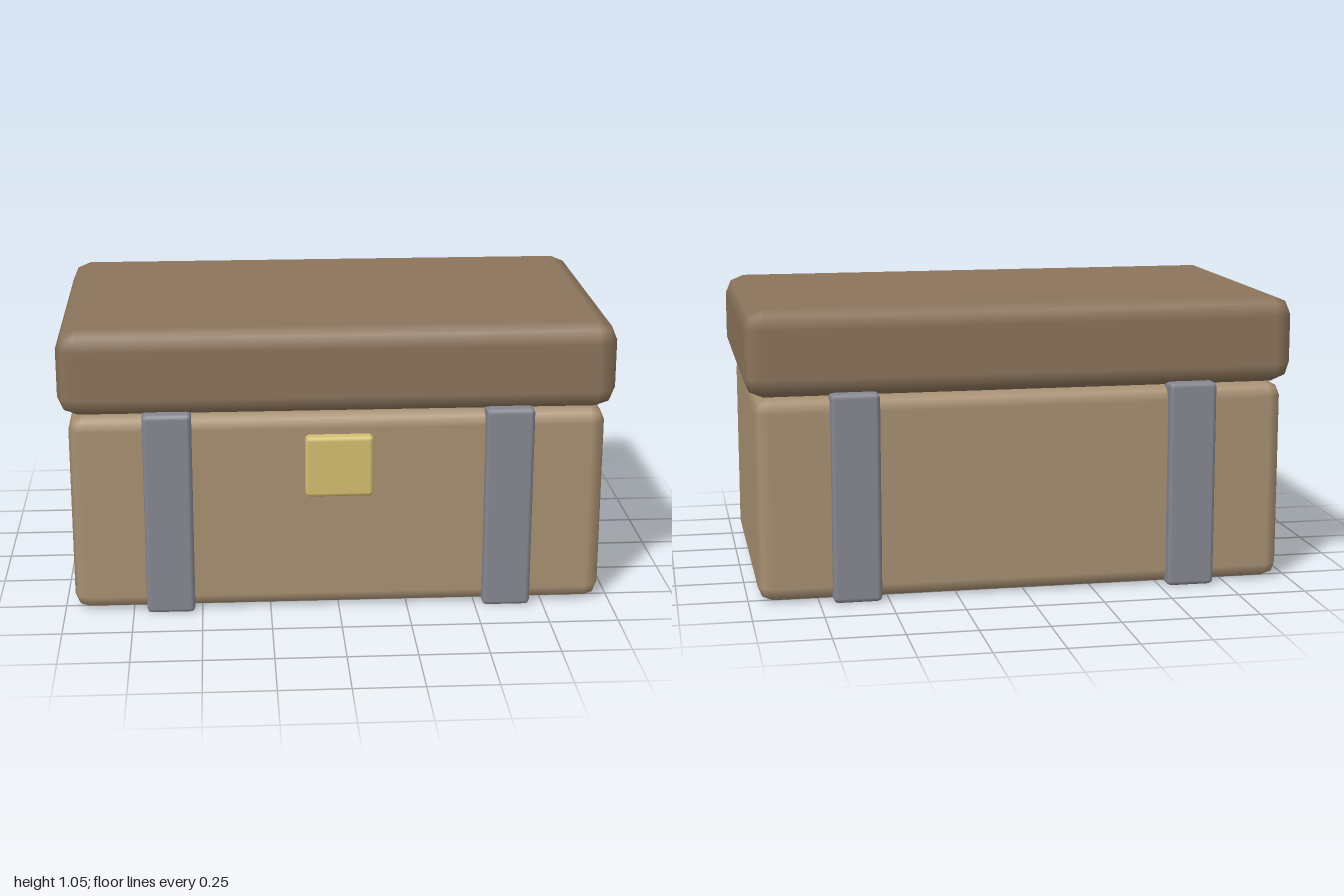
import * as THREE from 'three';
import { RoundedBoxGeometry } from 'three/addons/geometries/RoundedBoxGeometry.js';

// Rounded block given by its lower and upper corner
function block(name, lo, hi, radius, color) {
  const size = hi.map((v, i) => v - lo[i]);
  const mesh = new THREE.Mesh(
    new RoundedBoxGeometry(size[0], size[1], size[2], 1, radius),
    new THREE.MeshStandardMaterial({ color })
  );
  mesh.name = name;
  mesh.position.set(...lo.map((v, i) => (v + hi[i]) / 2));
  return mesh;
}

export function createModel() {
  const chest = new THREE.Group();
  chest.name = 'chest';

  // Body and overhanging lid
  chest.add(block('body', [-0.965, 0.002, -0.563], [0.965, 0.74, 0.56], 0.053, 0xa89072));
  chest.add(block('lid', [-1, 0.74, -0.58], [1, 1.055, 0.576], 0.07, 0x8b745b));

  // Metal bands wrapping front, underside and back
  for (const [name, x] of [['leftBand', 0.614], ['rightBand', -0.614]]) {
    chest.add(block(name, [x - 0.0875, 0, -0.6], [x + 0.0875, 0.756, 0.593], 0.017, 0x868791));
  }

  // Latch plate on the front
  chest.add(block('latch', [-0.123, 0.44, 0.53], [0.123, 0.667, 0.6], 0.016, 0xd3be70));

  return chest;
}
